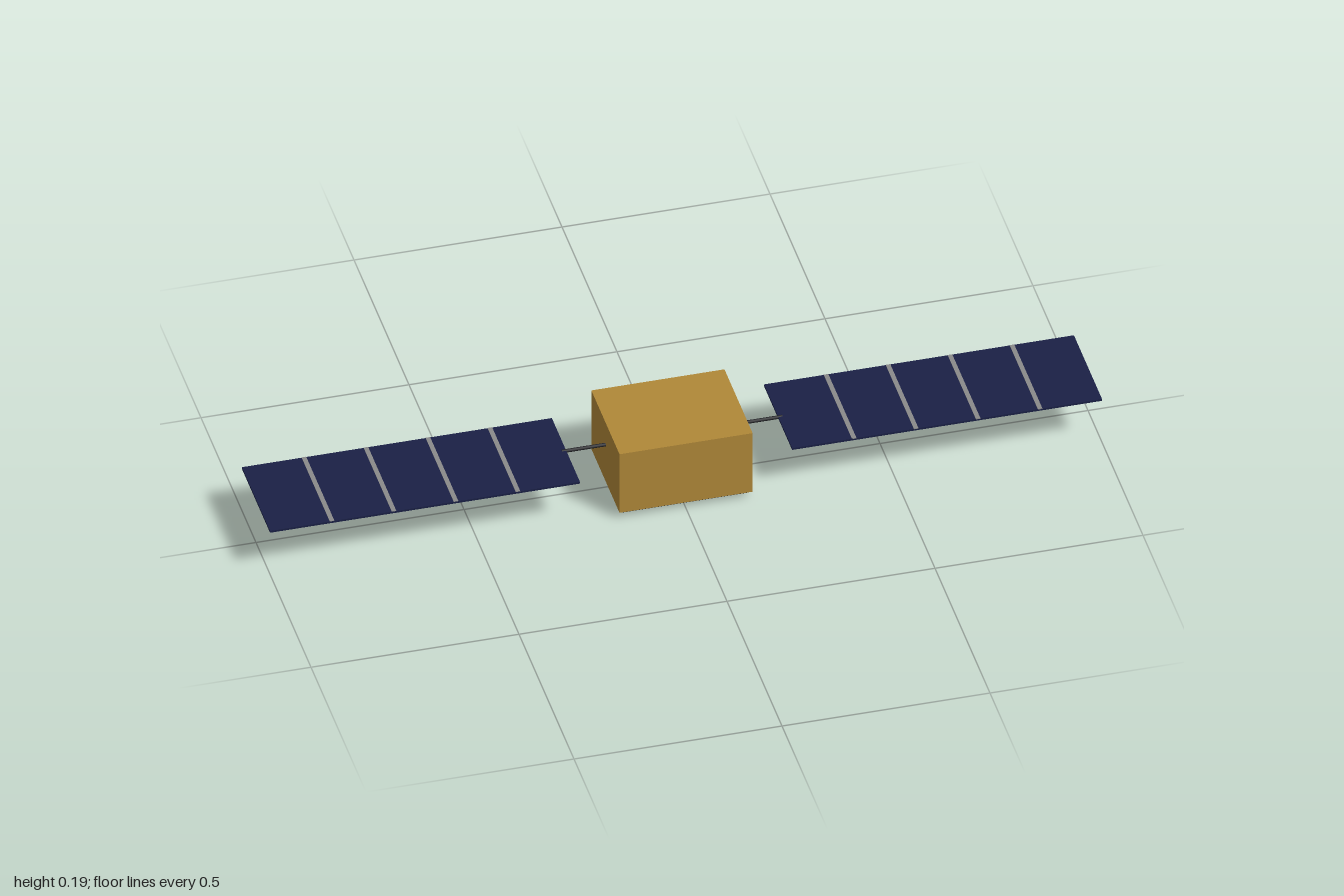
import * as THREE from 'three';

const mat = (color) => new THREE.MeshStandardMaterial({ color });

export function createModel() {
  const model = new THREE.Group();
  model.name = 'satellite';

  const gold = mat(0xb08838);
  const navy = mat(0x1a2045);
  const dark = mat(0x222226);
  const grey = mat(0x8a8a8a);
  const silver = mat(0xaaaaaa);

  // Box from its size and centre
  function box(parent, name, material, [w, h, d], [x, y, z]) {
    const mesh = new THREE.Mesh(new THREE.BoxGeometry(w, h, d), material);
    mesh.position.set(x, y, z);
    mesh.name = name;
    parent.add(mesh);
    return mesh;
  }

  // Main body with the stepped plates below it
  box(model, 'body', gold, [0.32, 0.17, 0.256], [0, 0.103, 0]);
  box(model, 'basePlate', dark, [0.298, 0.009, 0.234], [0, 0.0135, 0]);
  box(model, 'lowerPlate', silver, [0.213, 0.009, 0.17], [0, 0.0045, 0]);

  // Solar wings on both sides
  const wingY = 0.1235, inner = 0.255, outer = 1, depth = 0.256;
  const segment = (outer - inner) / 5;
  for (const side of [1, -1]) {
    const wing = new THREE.Group();
    wing.name = side > 0 ? 'leftWing' : 'rightWing';
    wing.position.y = wingY;
    model.add(wing);

    // Boom between body and panel
    const boom = new THREE.Mesh(new THREE.CylinderGeometry(0.0043, 0.0043, 0.115, 12), dark);
    boom.name = 'boom';
    boom.rotation.z = Math.PI / 2;
    boom.position.x = side * 0.2075;
    wing.add(boom);

    // Panel with thin dividers on its top face
    box(wing, 'solarPanel', navy, [outer - inner, 0.005, depth], [side * (inner + outer) / 2, 0, 0]);
    for (let i = 1; i < 5; i++) {
      box(wing, 'divider', grey, [0.011, 0.002, depth], [side * (inner + i * segment), 0.0024, 0]);
    }
  }
  return model;
}
